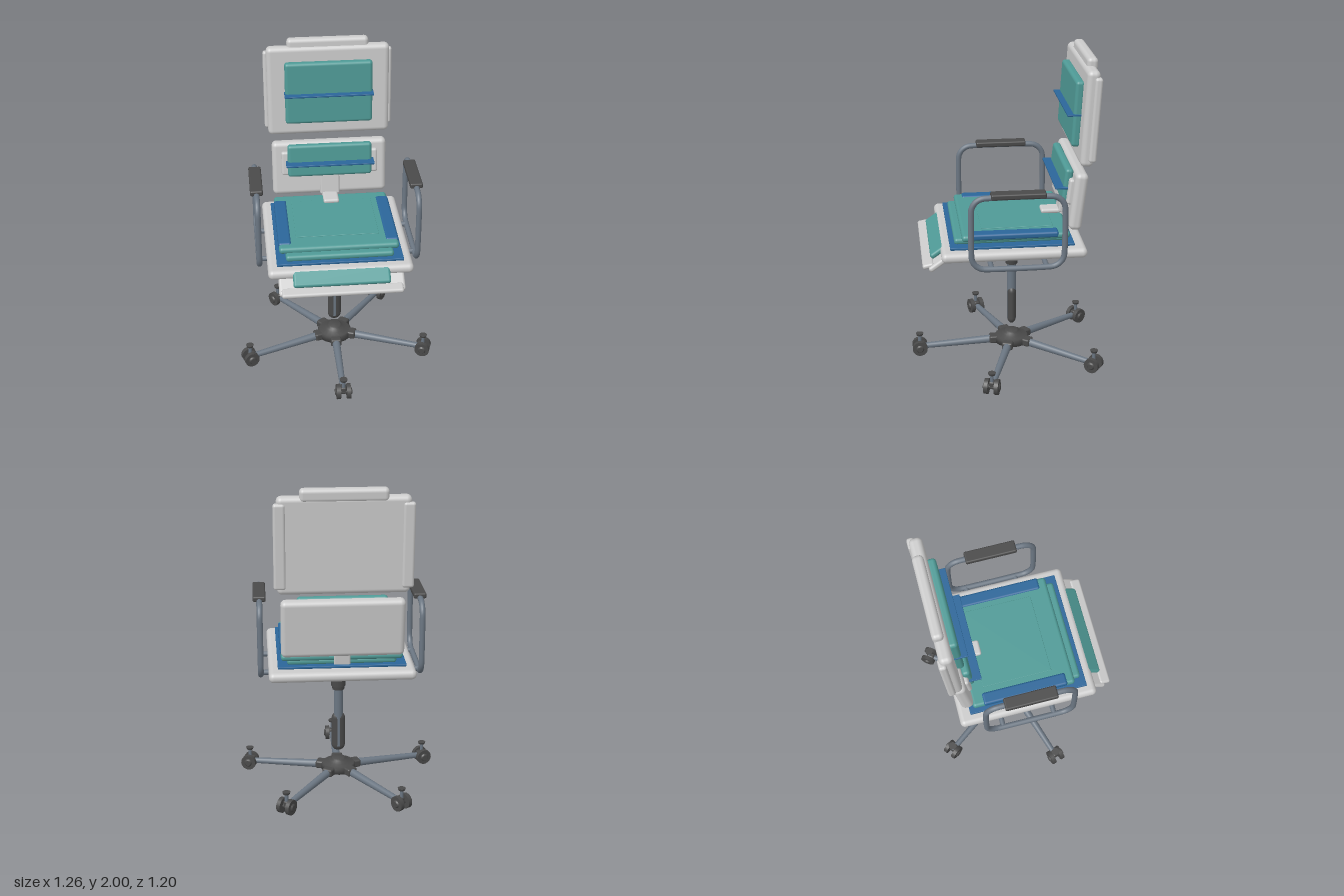
import * as THREE from 'three';
import { RoundedBoxGeometry } from 'three/addons/geometries/RoundedBoxGeometry.js';

const mat = (color) => new THREE.MeshStandardMaterial({ color });
const white = mat(0xe4e4e4), teal = mat(0x4f9a96), blue = mat(0x2b6699);
const steel = mat(0x6b7682), dark = mat(0x4a4a4a);
const AXIS_Z = -0.045; // swivel axis

function add(parent, name, geometry, material, x = 0, y = 0, z = 0) {
  const mesh = new THREE.Mesh(geometry, material);
  mesh.name = name;
  mesh.position.set(x, y, z);
  parent.add(mesh);
  return mesh;
}

// Rounded block given by its size and centre
function block(parent, name, material, [w, h, d], [x, y, z], r = 0.02) {
  const radius = Math.min(r, Math.min(w, h, d) * 0.49);
  return add(parent, name, new RoundedBoxGeometry(w, h, d, 4, radius), material, x, y, z);
}

function group(parent, name, x = 0, y = 0, z = 0) {
  const g = new THREE.Group();
  g.name = name;
  g.position.set(x, y, z);
  parent.add(g);
  return g;
}

const cyl = (rTop, rBottom, h, n = 24) => new THREE.CylinderGeometry(rTop, rBottom, h, n);

// Twin-wheel caster, rolling along local z
function caster(parent) {
  const c = group(parent, 'caster', 0, 0.05, 0.598);
  for (const s of [-1, 1]) {
    const wheel = add(c, 'casterWheel', cyl(0.048, 0.048, 0.026), dark, s * 0.032, 0, 0);
    wheel.rotation.z = Math.PI / 2;
    const cap = add(c, 'wheelCap', cyl(0.018, 0.028, 0.012, 16), dark, s * 0.048, 0, 0);
    cap.rotation.z = -s * Math.PI / 2;
  }
  const axle = add(c, 'casterAxle', cyl(0.016, 0.016, 0.06, 12), dark);
  axle.rotation.z = Math.PI / 2;
  block(c, 'casterFork', dark, [0.036, 0.05, 0.05], [0, 0.01, -0.01], 0.01);
  add(c, 'casterStem', cyl(0.011, 0.011, 0.08, 12), steel, 0, 0.05, 0);
  add(c, 'stemCap', cyl(0.025, 0.02, 0.014, 16), dark, 0, 0.088, 0);
}

function buildBase(root) {
  const base = group(root, 'base', 0, 0, AXIS_Z);
  const profile = [[0, 0.05], [0.07, 0.05], [0.11, 0.065], [0.11, 0.1], [0.1, 0.108],
    [0.065, 0.115], [0.06, 0.128], [0.042, 0.13], [0.04, 0.143], [0, 0.145]];
  const hub = new THREE.LatheGeometry(profile.map((p) => new THREE.Vector2(...p)), 20);
  add(base, 'hub', hub, dark);
  for (let i = 0; i < 5; i++) {
    const spoke = group(base, 'spoke');
    spoke.rotation.y = i * Math.PI * 2 / 5;
    const leg = add(spoke, 'leg', cyl(0.018, 0.027, 0.51, 16), steel, 0, 0.068, 0.325);
    leg.rotation.x = Math.PI / 2 + 0.06;
    block(spoke, 'legSocket', dark, [0.07, 0.05, 0.09], [0, 0.083, 0.1], 0.012);
    caster(spoke);
  }
}

function buildColumn(root) {
  const column = group(root, 'column', 0, 0, AXIS_Z);
  add(column, 'gasSpring', cyl(0.029, 0.029, 0.42), steel, 0, 0.435, 0);
  const sleeve = add(column, 'lowerSleeve', new THREE.CapsuleGeometry(0.043, 0.18, 8, 24), dark, 0, 0.325, 0);
  sleeve.scale.z = 0.66;
  add(column, 'collar', cyl(0.048, 0.046, 0.1), dark, 0, 0.69, 0);
  add(column, 'collarRing', cyl(0.042, 0.038, 0.03), dark, 0, 0.63, 0);
  // Tilt mechanism, a box that narrows downwards
  const box = cyl(0.19 * Math.SQRT2, 0.15 * Math.SQRT2, 0.06, 4).toNonIndexed();
  box.rotateY(Math.PI / 4);
  box.scale(1, 1, 0.8);
  box.computeVertexNormals();
  add(column, 'tiltMechanism', box, dark, 0, 0.766, -0.03);
  block(column, 'underPlate', steel, [0.6, 0.035, 0.56], [0, 0.81, 0.03], 0.008);
  const lever = add(column, 'lever', cyl(0.01, 0.01, 0.2, 12), dark, -0.09, 0.745, 0.1);
  lever.rotation.z = Math.PI / 2 - 0.15;
  block(column, 'leverKnob', dark, [0.07, 0.035, 0.045], [-0.155, 0.725, 0.115], 0.016);
}

function buildSeat(root) {
  const seat = group(root, 'seat');
  block(seat, 'seatPan', white, [0.885, 0.062, 0.88], [0, 0.847, -0.017], 0.03);
  block(seat, 'seatSheet', blue, [0.774, 0.016, 0.752], [0, 0.889, -0.008], 0.004);
  block(seat, 'lowerCushion', teal, [0.66, 0.04, 0.69], [0, 0.912, -0.005], 0.018);
  block(seat, 'upperCushion', teal, [0.735, 0.042, 0.655], [0, 0.941, -0.032], 0.02);
  block(seat, 'cushionInset', teal, [0.514, 0.012, 0.44], [0, 0.96, -0.05], 0.003);
  for (const s of [-1, 1]) {
    block(seat, 'sideBolster', blue, [0.08, 0.04, 0.537], [s * 0.33, 0.949, -0.022], 0.015);
  }
  // Sloping front flap
  const flap = group(seat, 'frontFlap', 0, 0.805, 0.435);
  flap.rotation.x = 0.62;
  block(flap, 'flapPanel', white, [0.765, 0.035, 0.17], [0, -0.01, -0.005], 0.016);
  block(flap, 'flapPad', teal, [0.59, 0.035, 0.11], [0, 0.023, -0.015], 0.016);
  const lip = block(seat, 'flapLip', white, [0.735, 0.03, 0.07], [0, 0.775, 0.5], 0.014);
  lip.rotation.x = 0.2;
}

// Closed rounded-rectangle tube path in the y-z plane
function armLoop(z0, z1, y0, y1, r) {
  const points = [];
  const corners = [[z1 - r, y1 - r], [z0 + r, y1 - r], [z0 + r, y0 + r], [z1 - r, y0 + r]];
  corners.forEach(([z, y], i) => {
    for (let k = 0; k <= 6; k++) {
      const a = (i + k / 6) * Math.PI / 2;
      points.push(new THREE.Vector3(0, y + r * Math.sin(a), z + r * Math.cos(a)));
    }
  });
  return new THREE.CatmullRomCurve3(points, true, 'centripetal');
}

function buildArmrests(root) {
  for (const s of [-1, 1]) {
    const arm = group(root, s > 0 ? 'leftArmrest' : 'rightArmrest', s * 0.488, 0, 0);
    const path = armLoop(-0.305, 0.25, 0.797, 1.247, 0.085);
    add(arm, 'armLoop', new THREE.TubeGeometry(path, 120, 0.0175, 14, true), steel);
    block(arm, 'armPad', dark, [0.078, 0.034, 0.325], [0, 1.261, -0.028], 0.01);
    for (const z of [-0.2, 0.13]) {
      const bar = add(arm, 'armBracket', cyl(0.016, 0.016, 0.2, 14), steel, -s * 0.1, 0.797, z);
      bar.rotation.z = Math.PI / 2;
    }
  }
}

function buildBack(root) {
  // Lumbar section
  const lumbar = group(root, 'lumbarRest', 0, 1.147, -0.408);
  lumbar.rotation.x = -0.115;
  block(lumbar, 'lumbarPanel', white, [0.735, 0.36, 0.078], [0, 0, 0], 0.03);
  block(lumbar, 'lumbarBracket', white, [0.62, 0.16, 0.04], [0, 0.043, 0.042], 0.016);
  block(lumbar, 'lumbarPad', teal, [0.54, 0.215, 0.05], [0, 0.066, 0.062], 0.02);
  block(lumbar, 'backStrip', white, [0.125, 0.2, 0.03], [0, -0.08, 0.04], 0.01);
  block(root, 'lumbarBlade', blue, [0.565, 0.012, 0.09], [0, 1.212, -0.322], 0.003);

  // Support joining the seat and the lumbar section
  block(root, 'supportTongue', white, [0.1, 0.03, 0.17], [0, 0.975, -0.31], 0.014);
  const post = block(root, 'supportPost', white, [0.1, 0.2, 0.03], [0, 0.95, -0.355], 0.01);
  post.rotation.x = -0.115;
  block(root, 'supportFoot', white, [0.1, 0.03, 0.12], [0, 0.808, -0.29], 0.012);

  // Upper section
  const upper = group(root, 'upperBackrest', 0, 1.665, -0.463);
  upper.rotation.x = -0.057;
  block(upper, 'upperPanel', white, [0.77, 0.582, 0.078], [0, 0, 0], 0.03);
  block(upper, 'upperPad', teal, [0.55, 0.402, 0.055], [0, 0, 0.056], 0.02);
  block(upper, 'topRoll', white, [0.51, 0.08, 0.066], [0, 0.298, -0.01], 0.025);
  for (const s of [-1, 1]) {
    block(upper, 'sideStrip', white, [0.07, 0.51, 0.045], [s * 0.37, 0, -0.027], 0.016);
  }
  block(root, 'upperBlade', blue, [0.56, 0.012, 0.09], [0, 1.665, -0.387], 0.003);
}

export function createModel() {
  const model = new THREE.Group();
  model.name = 'officeChair';
  buildBase(model);
  buildColumn(model);
  buildSeat(model);
  buildArmrests(model);
  buildBack(model);
  return model;
}
